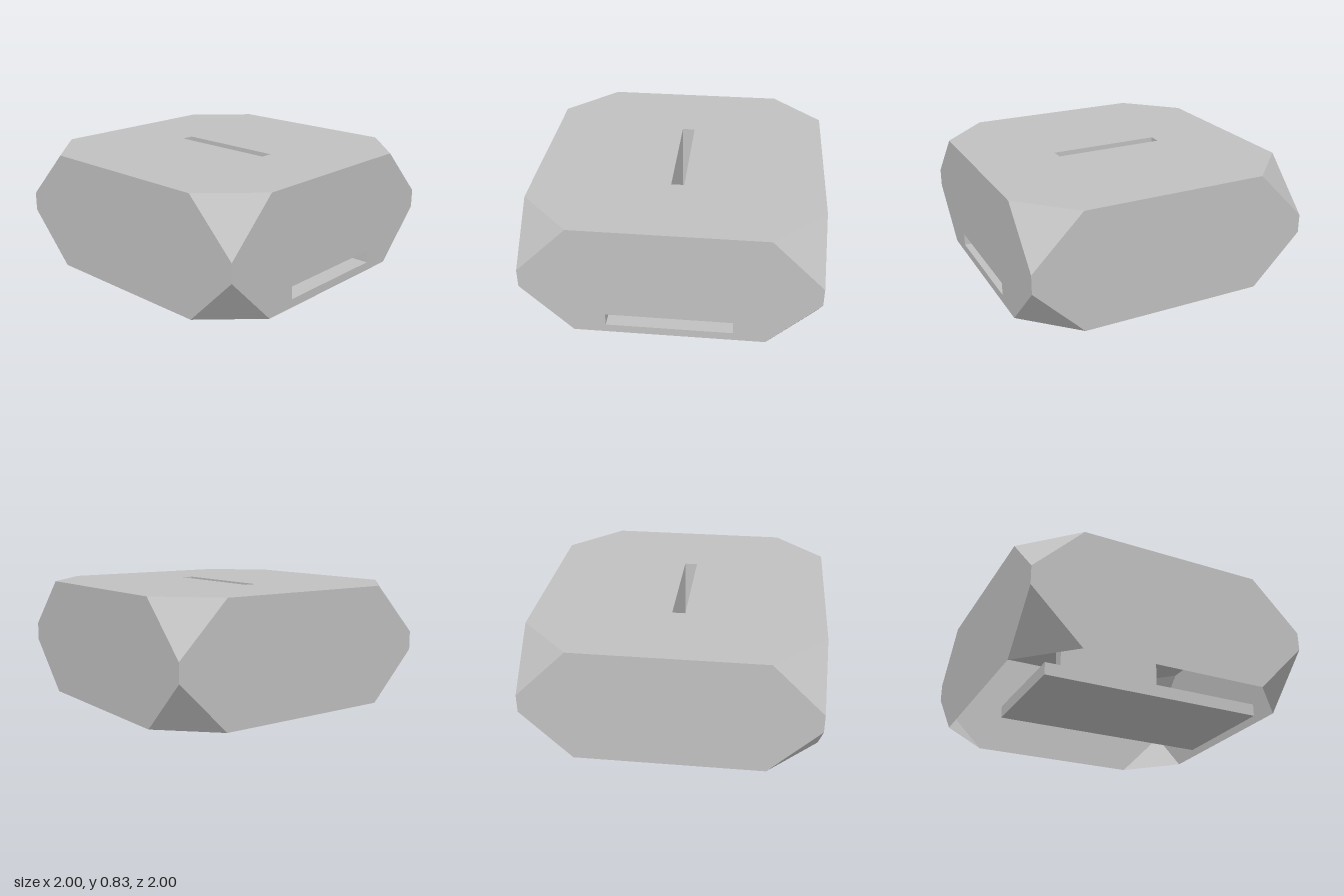
import * as THREE from 'three';

const H = 0.83;               // body height
const CUT = 0.35;             // corner chamfer
const Q = Math.PI / 2;
const DRAWER = { x: 0.43, y0: 0.06, y1: 0.15, back: -0.67 };
const SLOT = { x: 0.045, z: 0.4 };

// Rectangle, optionally with cut corners
function outline(w, h, cut) {
  const a = w / 2, b = h / 2;
  const pts = cut
    ? [[-a + cut, -b], [a - cut, -b], [a, -b + cut], [a, b - cut],
       [a - cut, b], [-a + cut, b], [-a, b - cut], [-a, -b + cut]]
    : [[-a, -b], [a, -b], [a, b], [-a, b]];
  return new THREE.Shape(pts.map(([x, y]) => new THREE.Vector2(x, y)));
}

export function createModel() {
  const grey = new THREE.MeshStandardMaterial({ color: 0xc0c0c0, side: THREE.DoubleSide });
  grey.name = 'light grey';
  const model = new THREE.Group();
  model.name = 'slottedBox';

  // Flat panel; hole is [x0, x1, y0, y1] in the panel's own plane
  function panel(parent, name, w, h, pos, rot, cut = 0, hole = null) {
    const shape = outline(w, h, cut);
    if (hole) {
      const [x0, x1, y0, y1] = hole;
      shape.holes.push(new THREE.Path([[x0, y0], [x0, y1], [x1, y1], [x1, y0]]
        .map(([x, y]) => new THREE.Vector2(x, y))));
    }
    const mesh = new THREE.Mesh(new THREE.ShapeGeometry(shape), grey);
    mesh.name = name;
    mesh.position.set(...pos);
    mesh.rotation.set(...rot);
    parent.add(mesh);
  }

  function group(name) {
    const g = new THREE.Group();
    g.name = name;
    model.add(g);
    return g;
  }

  // Body shell, open underneath
  const shell = group('shell');
  panel(shell, 'frontWall', 2, H, [0, H / 2, 1], [0, 0, 0], CUT,
    [-DRAWER.x, DRAWER.x, DRAWER.y0 - H / 2, DRAWER.y1 - H / 2]);
  panel(shell, 'backWall', 2, H, [0, H / 2, -1], [0, 2 * Q, 0], CUT);
  panel(shell, 'leftWall', 2, H, [1, H / 2, 0], [0, Q, 0], CUT);
  panel(shell, 'rightWall', 2, H, [-1, H / 2, 0], [0, -Q, 0], CUT);
  panel(shell, 'topPanel', 2, 2, [0, H, 0], [-Q, 0, 0], CUT,
    [-SLOT.x, SLOT.x, -SLOT.z, SLOT.z]);

  // Eight cut corners
  const corners = [];
  for (const sx of [-1, 1]) for (const sz of [-1, 1]) for (const sy of [-1, 1]) {
    const y = sy > 0 ? H : 0, k = 1 - CUT;
    const a = [sx * k, y, sz], b = [sx, y, sz * k], c = [sx, y - sy * CUT, sz];
    corners.push(...(sx * sy * sz > 0 ? [a, c, b] : [a, b, c]).flat());
  }
  const cornerGeo = new THREE.BufferGeometry();
  cornerGeo.setAttribute('position', new THREE.Float32BufferAttribute(corners, 3));
  cornerGeo.computeVertexNormals();
  const cornerMesh = new THREE.Mesh(cornerGeo, grey);
  cornerMesh.name = 'cutCorners';
  shell.add(cornerMesh);

  // Flat compartment behind the front opening
  const tray = group('frontCompartment');
  const len = 1 - DRAWER.back, midZ = (1 + DRAWER.back) / 2;
  const th = DRAWER.y1 - DRAWER.y0, midY = (DRAWER.y0 + DRAWER.y1) / 2;
  panel(tray, 'compartmentFloor', 2 * DRAWER.x, len, [0, DRAWER.y0, midZ], [Q, 0, 0]);
  panel(tray, 'compartmentRoof', 2 * DRAWER.x, len, [0, DRAWER.y1, midZ], [-Q, 0, 0], 0,
    [-SLOT.x, SLOT.x, midZ - SLOT.z, midZ + SLOT.z]);
  panel(tray, 'compartmentBack', 2 * DRAWER.x, th, [0, midY, DRAWER.back], [0, 2 * Q, 0]);
  for (const s of [-1, 1])
    panel(tray, 'compartmentSide', len, th, [s * DRAWER.x, midY, midZ], [0, s * Q, 0]);

  // Chute from the top slot down into the compartment
  const chute = group('topChute');
  const ch = H - DRAWER.y1, cy = (H + DRAWER.y1) / 2;
  for (const s of [-1, 1]) {
    panel(chute, 'chuteSide', 2 * SLOT.z, ch, [s * SLOT.x, cy, 0], [0, s * Q, 0]);
    panel(chute, 'chuteEnd', 2 * SLOT.x, ch, [0, cy, s * SLOT.z], [0, s > 0 ? 0 : 2 * Q, 0]);
  }
  return model;
}
